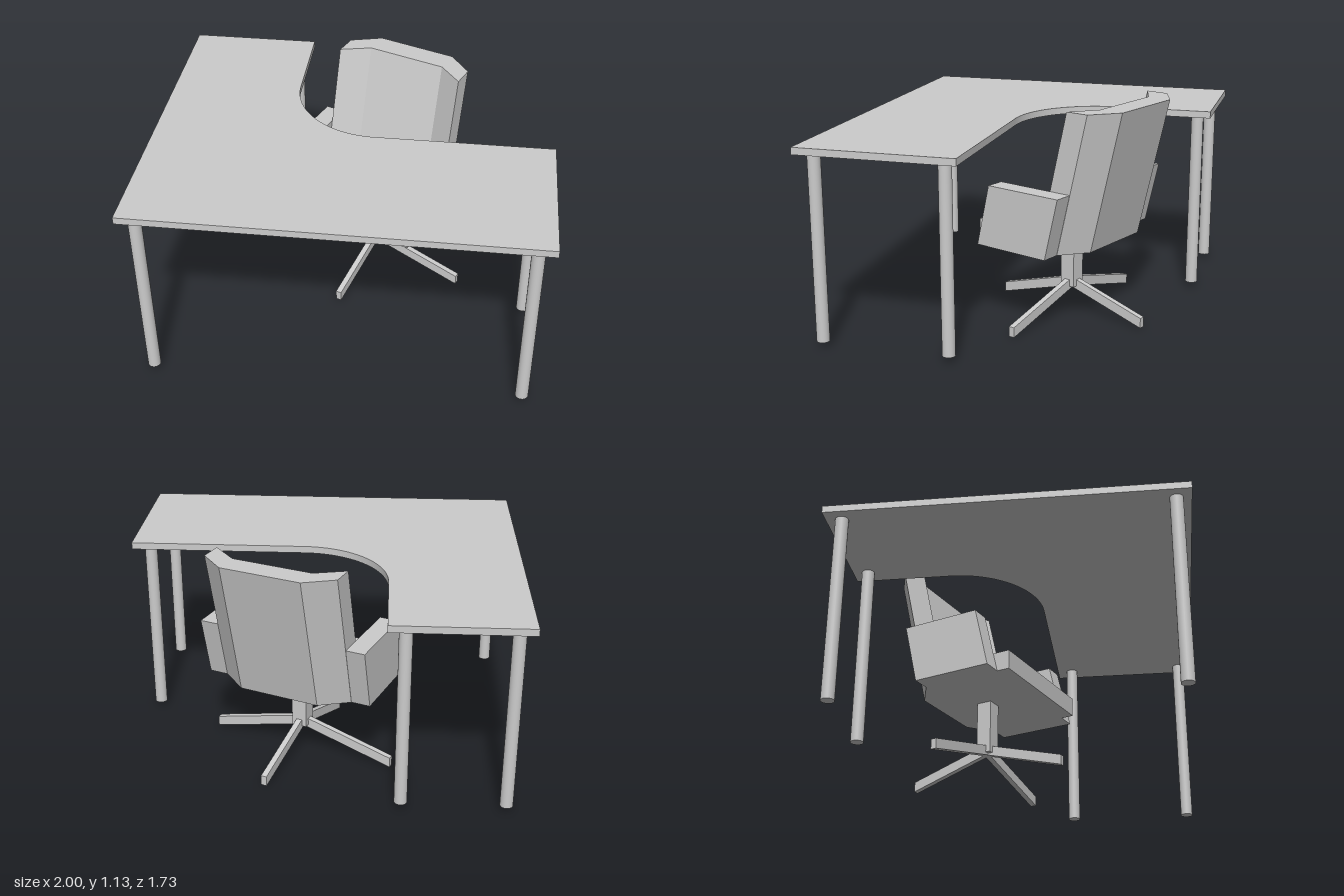
import * as THREE from 'three';

const material = new THREE.MeshStandardMaterial({ color: 0xcccccc });
const BASE = 0.415; // underside of the chair seat
const LEAN = 0.238; // backward lean of arms and backrest per unit of height

function addMesh(parent, name, geometry) {
  const mesh = new THREE.Mesh(geometry, material);
  mesh.name = name;
  parent.add(mesh);
  return mesh;
}

// Upright prism from a plan outline in (x, z), optionally leaning backwards
function prism(shape, bottom, top, lean = 0) {
  const geo = new THREE.ExtrudeGeometry(shape, { depth: top - bottom, bevelEnabled: false, curveSegments: 24 });
  geo.rotateX(Math.PI / 2).translate(0, top, 0);
  const p = geo.attributes.position;
  for (let i = 0; i < p.count; i++) p.setZ(i, p.getZ(i) - lean * (p.getY(i) - bottom));
  geo.computeVertexNormals();
  return geo;
}

const outline = (points) => new THREE.Shape(points.map(([x, z]) => new THREE.Vector2(x, z)));

// Completes a half outline (x > 0) with its mirror image
const mirrored = (half) => outline([...half, ...half.map(([x, z]) => [-x, z]).reverse()]);

function createDesk() {
  const desk = new THREE.Group();
  desk.name = 'desk';

  // L-shaped top with a rounded inner corner
  const r = 0.437;
  const top = new THREE.Shape();
  top.moveTo(-1, -0.865);
  top.lineTo(-0.335, -0.865);
  top.lineTo(-0.335, 0.065 - r);
  top.absarc(-0.335 + r, 0.065 - r, r, Math.PI, Math.PI / 2, true);
  top.lineTo(1, 0.065);
  top.lineTo(1, 0.862);
  top.lineTo(-1, 0.862);
  top.closePath();
  addMesh(desk, 'deskTop', prism(top, 0.965, 1));

  // Round legs near the five outer corners
  const legGeo = new THREE.CylinderGeometry(0.032, 0.032, 0.94, 24);
  for (const [x, z] of [[-0.925, 0.79], [0.917, 0.79], [0.917, 0.148], [-0.925, -0.787], [-0.418, -0.787]]) {
    addMesh(desk, 'deskLeg', legGeo).position.set(x, 0.5, z);
  }
  return desk;
}

function createChair() {
  const chair = new THREE.Group();
  chair.name = 'chair';

  // Seat slab, its rear tucked into the backrest
  addMesh(chair, 'seat', prism(mirrored([[0.348, 0.326], [0.348, -0.08], [0.21, -0.175]]), BASE, 0.515));

  // Faceted wrap-around backrest
  const back = mirrored([[0.21, -0.137], [0.348, -0.043], [0.348, -0.161], [0.21, -0.263]]);
  addMesh(chair, 'backrest', prism(back, BASE, 1.13, LEAN));

  // Slab armrests
  for (const side of [-1, 1]) {
    const arm = outline([[0.348, 0.26], [0.446, 0.26], [0.446, -0.16], [0.348, -0.16]].map(([x, z]) => [side * x, z]));
    addMesh(chair, side > 0 ? 'leftArmrest' : 'rightArmrest', prism(arm, BASE, 0.73, LEAN));
  }

  // Square column
  const column = new THREE.BoxGeometry(0.08, BASE - 0.135, 0.08);
  addMesh(chair, 'column', column).position.y = (BASE + 0.135) / 2;

  // Four sloping spokes
  for (let i = 0; i < 4; i++) {
    const length = i % 2 ? 0.437 : 0.5;
    const spoke = outline([[0, 0.13], [length, 0], [length, 0.052], [0, 0.182]]);
    const geo = new THREE.ExtrudeGeometry(spoke, { depth: 0.03, bevelEnabled: false });
    geo.translate(0, 0, -0.015);
    addMesh(chair, 'baseSpoke', geo).rotation.y = (i * Math.PI) / 2;
  }

  chair.position.set(0.094, 0, -0.235);
  chair.rotation.y = THREE.MathUtils.degToRad(-22);
  return chair;
}

export function createModel() {
  const model = new THREE.Group();
  model.name = 'deskAndChair';
  model.add(createDesk(), createChair());
  return model;
}
